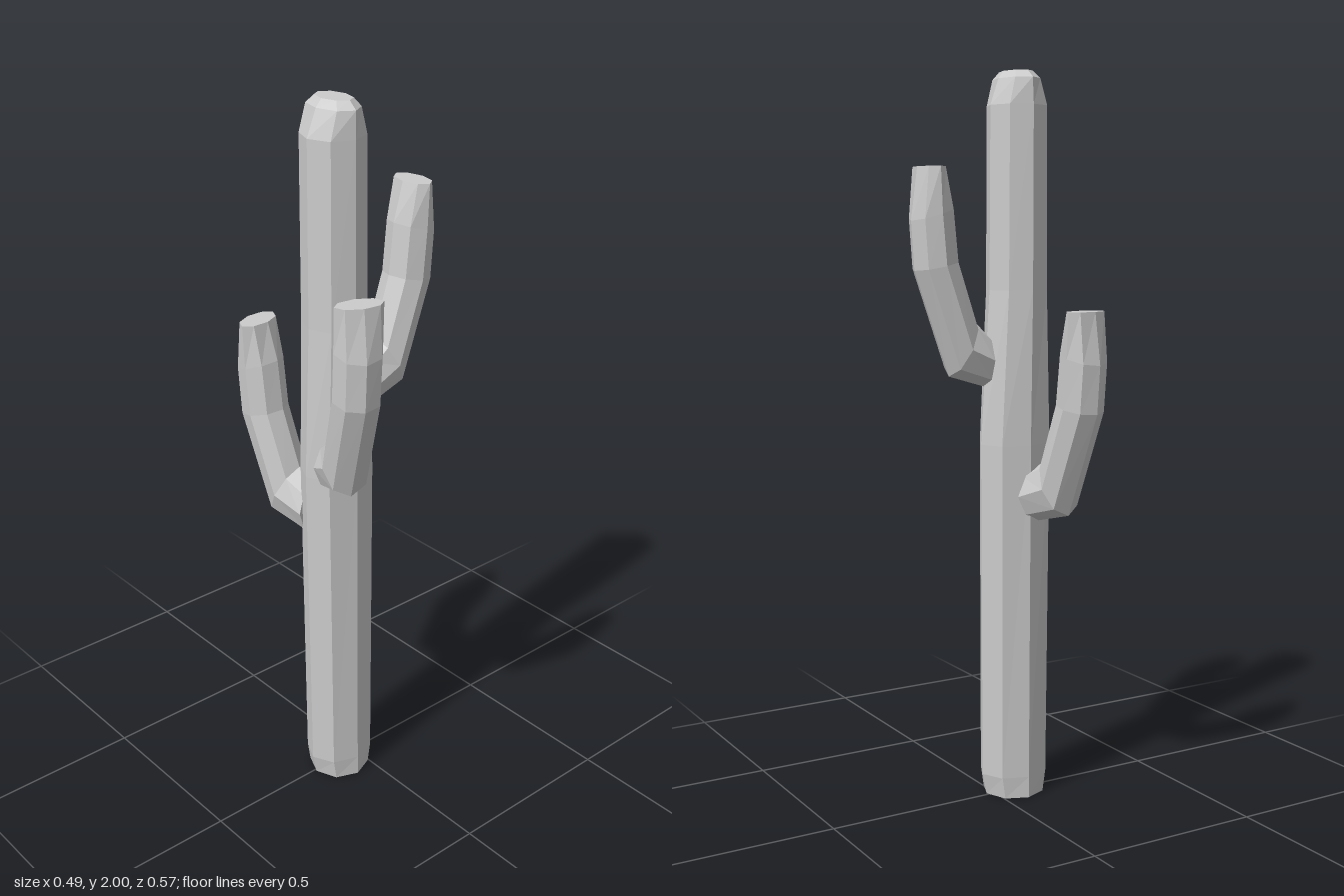
import * as THREE from 'three';

const SIDES = 8;
const material = new THREE.MeshStandardMaterial({ color: 0xcccccc, flatShading: true });

// Joins eight-sided elliptical rings into a closed solid.
// Each ring: centre c, half-axis u and half-axis w.
function loft(rings) {
  const pos = [], index = [];
  for (const { c, u, w } of rings) {
    for (let k = 0; k < SIDES; k++) {
      const a = (k / SIDES) * Math.PI * 2;
      const p = c.clone().addScaledVector(u, Math.cos(a)).addScaledVector(w, Math.sin(a));
      pos.push(p.x, p.y, p.z);
    }
  }
  for (let i = 0; i < rings.length - 1; i++) {
    for (let k = 0; k < SIDES; k++) {
      const a = i * SIDES + k, b = i * SIDES + ((k + 1) % SIDES);
      index.push(a, a + SIDES, b, b, a + SIDES, b + SIDES);
    }
  }
  // end caps
  const top = (rings.length - 1) * SIDES;
  for (let k = 1; k < SIDES - 1; k++) {
    index.push(0, k, k + 1, top, top + k + 1, top + k);
  }
  const geometry = new THREE.BufferGeometry();
  geometry.setAttribute('position', new THREE.Float32BufferAttribute(pos, 3));
  geometry.setIndex(index);
  geometry.computeVertexNormals();
  return geometry;
}

const vec = (x, y, z) => new THREE.Vector3(x, y, z);

function makeTrunk() {
  // [height, centre x, half width in x, half width in z]
  const profile = [
    [0, -0.065, 0.087, 0.086],
    [0.06, -0.065, 0.1, 0.086],
    [1.0, -0.068, 0.107, 0.086],
    [1.42, -0.073, 0.085, 0.086],
    [1.91, -0.073, 0.082, 0.086],
    [1.98, -0.071, 0.055, 0.084],
    [2.0, -0.07, 0.038, 0.06],
  ];
  const rings = profile.map(([y, x, rx, rz]) => ({
    c: vec(x, y, 0.008), u: vec(rx, 0, 0), w: vec(0, 0, rz),
  }));
  const mesh = new THREE.Mesh(loft(rings), material);
  mesh.name = 'trunk';
  return mesh;
}

// An arm growing along +x and bending upward; each section gives its
// outer point and inner point as [reach, height].
function armGeometry(inset) {
  const sections = [
    [[-inset, 0], [-inset, 0.15]],
    [[0.107, 0.032], [0.03, 0.18]],
    [[0.208, 0.315], [0.083, 0.34]],
    [[0.217, 0.445], [0.098, 0.48]],
    [[0.198, 0.585], [0.128, 0.585]],
  ];
  return loft(sections.map(([o, i]) => ({
    c: vec((o[0] + i[0]) / 2, (o[1] + i[1]) / 2, 0),
    u: vec((o[0] - i[0]) / 2, (o[1] - i[1]) / 2, 0),
    w: vec(0, 0, 0.065),
  })));
}

export function createModel() {
  const model = new THREE.Group();
  model.name = 'cactus';
  model.add(makeTrunk());

  // [name, base x, y, z, turn in degrees, extra length at the base]
  const arms = [
    ['leftArm', 0.032, 1.16, 0.008, 0, 0],
    ['frontArm', -0.125, 0.975, 0.077, -110, 0],
    ['backArm', -0.102, 0.785, -0.073, 103, 0.02],
  ];
  for (const [name, x, y, z, turn, inset] of arms) {
    const arm = new THREE.Mesh(armGeometry(inset), material);
    arm.name = name;
    arm.position.set(x, y, z);
    arm.rotation.y = THREE.MathUtils.degToRad(turn);
    model.add(arm);
  }
  return model;
}
